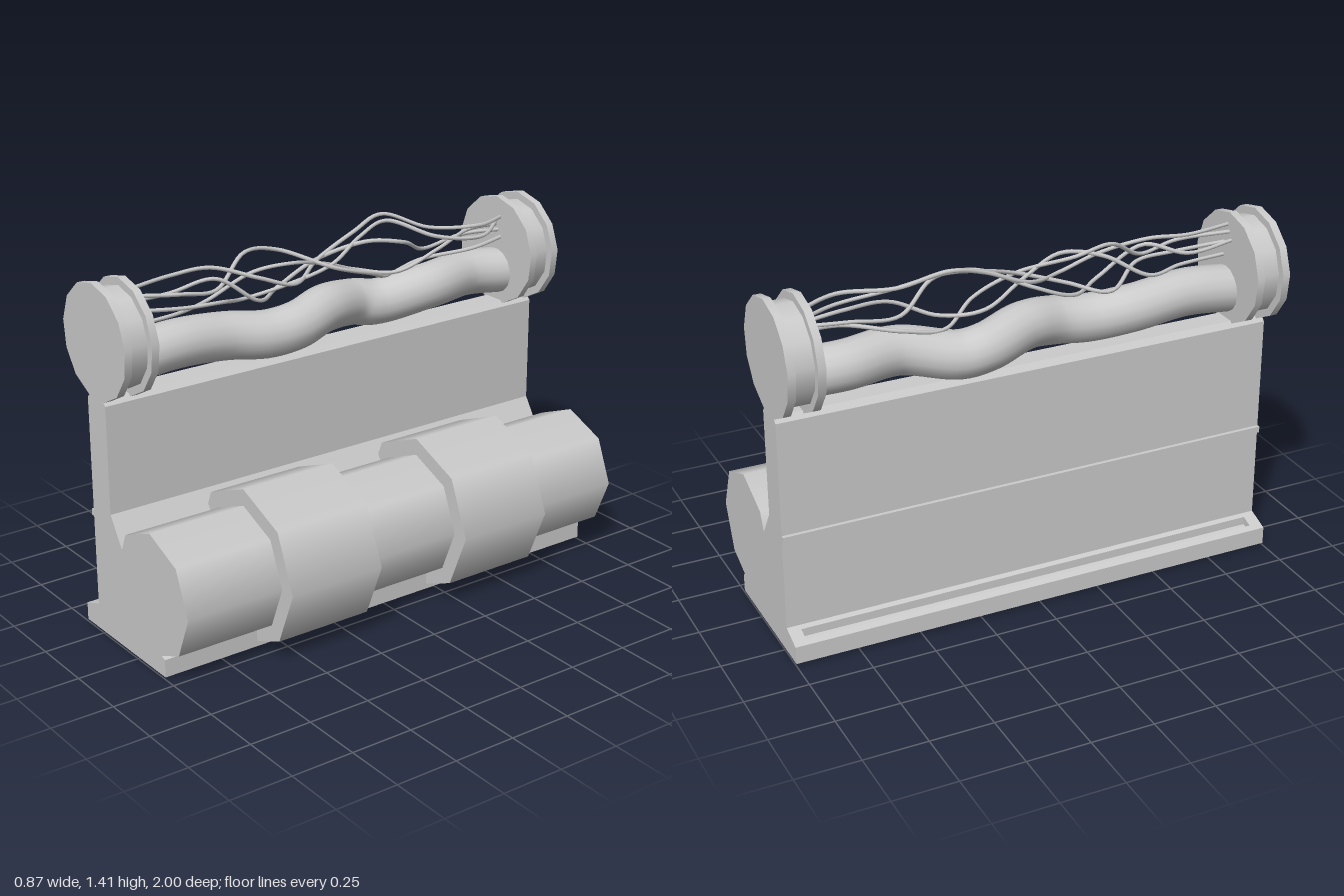
import * as THREE from 'three';

const material = new THREE.MeshStandardMaterial({ color: 0xcccccc });

export function createModel() {
  const model = new THREE.Group();

  const add = (name, geometry) => {
    const mesh = new THREE.Mesh(geometry, material);
    mesh.name = name;
    model.add(mesh);
    return mesh;
  };

  // cross-section in x,y extruded from z0 to z1
  const prism = (name, points, z0, z1) => {
    const shape = new THREE.Shape(points.map(([x, y]) => new THREE.Vector2(x, y)));
    const geometry = new THREE.ExtrudeGeometry(shape, { depth: z1 - z0, bevelEnabled: false });
    return add(name, geometry.translate(0, 0, z0));
  };

  // few-sided drum lying along z with one corner pointing up
  const drum = (name, x, y, radius, sides, z0, z1) => {
    const geometry = new THREE.CylinderGeometry(radius, radius, z1 - z0, sides);
    return add(name, geometry.rotateX(-Math.PI / 2).translate(x, y, (z0 + z1) / 2));
  };

  const cable = (name, points, radius, steps, sides) => {
    const path = new THREE.CatmullRomCurve3(points.map((p) => new THREE.Vector3(...p)));
    return add(name, new THREE.TubeGeometry(path, steps, radius, sides));
  };

  // base block with the upright wall
  prism('wall', [
    [-0.28, 0.012], [0.195, 0.012], [0.195, 0.083], [0.15, 0.1], [0.1, 0.3],
    [-0.08, 0.415], [-0.155, 0.53], [-0.155, 0.955], [-0.175, 0.977],
    [-0.26, 0.977], [-0.28, 0.955],
  ], -1, 1);

  // rear ledge, grooved between its solid ends
  const ledge = [[-0.37, 0.012], [-0.28, 0.012], [-0.28, 0.115], [-0.37, 0.083]];
  const groovedLedge = [
    [-0.37, 0.012], [-0.28, 0.012], [-0.28, 0.115], [-0.3, 0.108],
    [-0.3, 0.075], [-0.345, 0.065], [-0.345, 0.092], [-0.37, 0.083],
  ];
  prism('ledgeEnd', ledge, 0.95, 1);
  prism('ledgeEnd', ledge, -1, -0.95);
  prism('ledge', groovedLedge, -0.95, 0.95);

  // thin rail along the back of the wall
  add('rail', new THREE.BoxGeometry(0.03, 0.025, 2).translate(-0.28, 0.492, 0));

  // octagonal drum with two wider bands
  drum('drum', 0.121, 0.315, 0.245, 8, -1, 1);
  drum('drumBand', 0.121, 0.315, 0.312, 8, 0.2, 0.6);
  drum('drumBand', 0.121, 0.315, 0.312, 8, -0.6, -0.2);

  // spools at both ends of the wall top
  for (const side of [1, -1]) {
    const ring = (name, radius, a, b) =>
      drum(name, -0.215, 1.184, radius, 13, Math.min(side * a, side * b), Math.max(side * a, side * b));
    ring('spoolFlange', 0.222, 0.97, 1);
    ring('spoolCore', 0.192, 0.88, 0.98);
    ring('spoolFlange', 0.222, 0.86, 0.89);
  }

  // thick wavy hose
  cable('hose', [
    [-0.205, 1.09, 0.9], [-0.205, 1.11, 0.68], [-0.212, 1.092, 0.45], [-0.18, 1.073, 0.28],
    [-0.17, 1.085, 0.15], [-0.21, 1.108, 0], [-0.268, 1.083, -0.18], [-0.255, 1.067, -0.28],
    [-0.2, 1.105, -0.5], [-0.235, 1.107, -0.72], [-0.205, 1.095, -0.9],
  ], 0.092, 90, 16);

  // bundle of thin wires, each listed as x,y at the shared z stations
  const stations = [0.88, 0.66, 0.5, 0.33, 0.18, 0, -0.18, -0.33, -0.5, -0.7, -0.88];
  const wires = [
    [[-0.2, 1.355], [-0.24, 1.36], [-0.22, 1.365], [-0.15, 1.31], [-0.14, 1.26], [-0.25, 1.295],
      [-0.26, 1.37], [-0.28, 1.41], [-0.2, 1.345], [-0.13, 1.335], [-0.2, 1.325]],
    [[-0.22, 1.33], [-0.16, 1.31], [-0.18, 1.29], [-0.25, 1.385], [-0.26, 1.365], [-0.14, 1.29],
      [-0.15, 1.23], [-0.24, 1.17], [-0.25, 1.2], [-0.17, 1.23], [-0.19, 1.245]],
    [[-0.18, 1.225], [-0.2, 1.225], [-0.25, 1.23], [-0.2, 1.32], [-0.15, 1.34], [-0.2, 1.29],
      [-0.25, 1.22], [-0.18, 1.2], [-0.14, 1.27], [-0.2, 1.3], [-0.22, 1.29]],
    [[-0.23, 1.3], [-0.25, 1.29], [-0.19, 1.33], [-0.16, 1.22], [-0.26, 1.215], [-0.27, 1.285],
      [-0.18, 1.35], [-0.14, 1.33], [-0.23, 1.25], [-0.24, 1.27], [-0.2, 1.27]],
    [[-0.19, 1.28], [-0.15, 1.26], [-0.15, 1.25], [-0.26, 1.2], [-0.2, 1.24], [-0.16, 1.295],
      [-0.22, 1.36], [-0.25, 1.39], [-0.15, 1.32], [-0.12, 1.29], [-0.23, 1.305]],
  ];
  const wireGroup = new THREE.Group();
  wireGroup.name = 'wires';
  for (const wire of wires) {
    wireGroup.add(cable('wire', wire.map(([x, y], i) => [x, y, stations[i]]), 0.008, 80, 6));
  }
  model.add(wireGroup);

  return model;
}
